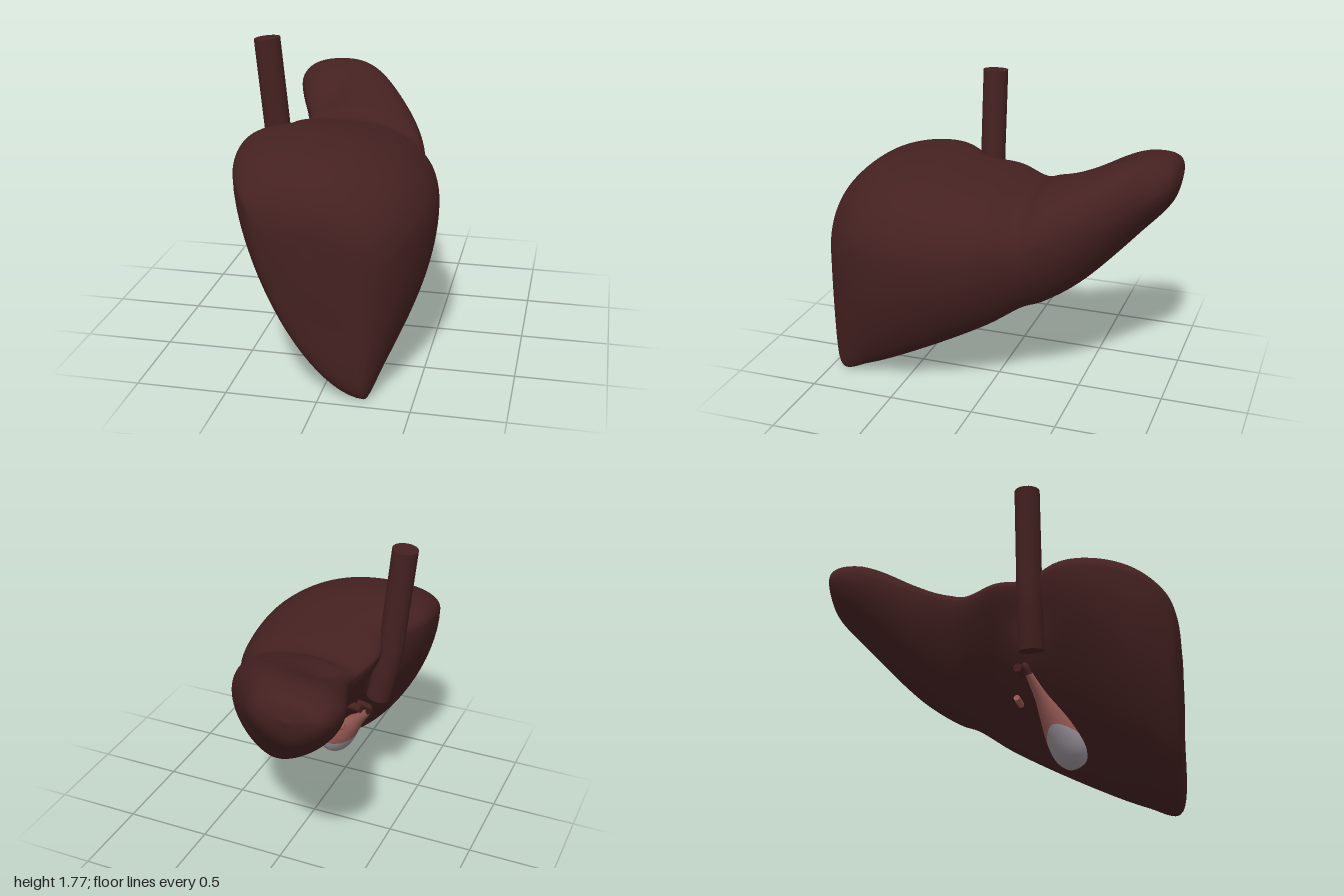
import * as THREE from 'three';
import { mergeVertices } from 'three/addons/utils/BufferGeometryUtils.js';
import { ParametricGeometry } from 'three/addons/geometries/ParametricGeometry.js';

const V = (x, y, z) => new THREE.Vector3(x, y, z);
const gauss = (d, width) => Math.exp(-((d / width) ** 2));

// A cross-section at z, given by its left, top, right and bottom extremes
const section = (z, ...xy) => [0, 2, 4, 6].map(k => V(xy[k], xy[k + 1], z));
const pole = (x, y, z) => section(z, x, y, x, y, x, y, x, y);

const liverSections = () => [
  pole(-0.05, 0.8, 1),
  section(0.985, -0.28, 0.92, -0.1, 1.01, 0.18, 0.8, 0.13, 0.45),
  section(0.93, -0.39, 1.04, -0.13, 1.13, 0.31, 0.76, 0.24, 0.005),
  section(0.75, -0.5, 1.14, -0.18, 1.27, 0.45, 0.83, 0.24, 0.055),
  section(0.45, -0.535, 1.2, -0.22, 1.33, 0.535, 0.86, 0.24, 0.19),
  section(0, -0.42, 1.18, -0.15, 1.26, 0.475, 0.9, 0.2, 0.42),
  section(-0.2, -0.355, 1.14, -0.1, 1.21, 0.37, 0.92, 0.14, 0.54),
  section(-0.3, -0.345, 1.15, -0.07, 1.255, 0.36, 0.97, 0.1, 0.57),
  section(-0.5, -0.41, 1.19, -0.09, 1.325, 0.275, 1.05, 0.01, 0.685),
  section(-0.8, -0.51, 1.27, -0.18, 1.41, 0.06, 1.2, -0.2, 0.96),
  section(-0.96, -0.465, 1.29, -0.27, 1.375, -0.09, 1.26, -0.27, 1.14),
  pole(-0.28, 1.28, -1),
];

// Closed outline through the four extremes, each quarter a cubic curve
function outline([L, T, R, B], under, perQuarter) {
  const quarter = (a, b, corner, ka, kb) => {
    const h1 = a.clone().lerp(corner, ka), h2 = b.clone().lerp(corner, kb);
    return new THREE.CubicBezierCurve3(a, h1, h2, b).getPoints(perQuarter).slice(0, -1);
  };
  const at = (p, q) => V(p.x, q.y, (p.z + q.z) / 2);
  return [
    ...quarter(L, T, at(L, T), 0.6, 0.65),
    ...quarter(T, R, at(R, T), 0.65, 0.55),
    ...quarter(R, B, at(R, B), 0.5, 0.42),
    ...quarter(B, L, at(L, B), under, under),
  ];
}

function liverGeometry() {
  const sections = liverSections();
  const perQuarter = 20, n = perQuarter * 4, steps = (sections.length - 1) * 10;
  const rails = [0, 1, 2, 3].map(k => new THREE.CatmullRomCurve3(sections.map(s => s[k])));
  const pos = [], idx = [];
  for (let i = 0; i <= steps; i++) {
    const extremes = rails.map(r => r.getPoint(i / steps));
    // The under face is flattest in the middle and fuller towards both ends
    const z = extremes[0].z;
    const under = 0.15 + 0.27 * Math.min(1, Math.abs(z + 0.05) / (z < 0 ? 0.45 : 0.8));
    outline(extremes, under, perQuarter).forEach((p, j) => {
      // Shallow hollow on top of the small lobe
      if (j < perQuarter * 1.5) p.y -= 0.05 * gauss(p.x + 0.24, 0.1) * gauss(p.z + 0.5, 0.17);
      // Groove for the large vein
      p.x += 0.1 * gauss(p.z - 0.16, 0.12) * THREE.MathUtils.smoothstep(p.y, 0.75, 1.05)
        * THREE.MathUtils.smoothstep(-p.x, 0.15, 0.42);
      pos.push(p.x, p.y, p.z);
    });
    if (i === steps) break;
    for (let j = 0; j < n; j++) {
      const a = i * n + j, b = i * n + (j + 1) % n;
      idx.push(a, b, a + n, b, b + n, a + n);
    }
  }
  const loft = new THREE.BufferGeometry();
  loft.setAttribute('position', new THREE.Float32BufferAttribute(pos, 3));
  loft.setIndex(idx);
  const geometry = mergeVertices(loft, 1e-5);
  geometry.computeVertexNormals();
  return geometry;
}

export function createModel() {
  const group = new THREE.Group();
  const mat = (name, color) => Object.assign(new THREE.MeshStandardMaterial({ color }), { name });
  const liverRed = mat('liver red', 0x452121);
  const ductPink = mat('gallbladder pink', 0x9a5c56);
  const paleGrey = mat('pale grey', 0x9c949c);

  const add = (name, geometry, material, parent = group) => {
    const mesh = new THREE.Mesh(geometry, material);
    mesh.name = name;
    parent.add(mesh);
    return mesh;
  };

  // Round vessel along a path, closed at both ends
  const vessel = (name, points, r, material) => {
    const part = new THREE.Group();
    part.name = name;
    group.add(part);
    const curve = new THREE.CatmullRomCurve3(points);
    add(name + 'Wall', new THREE.TubeGeometry(curve, 24, r, 24), material, part);
    for (const t of [0, 1]) {
      const cap = add(name + 'End', new THREE.CircleGeometry(r, 24), material, part);
      const dir = curve.getTangent(t).multiplyScalar(t ? 1 : -1);
      cap.position.copy(curve.getPoint(t));
      cap.quaternion.setFromUnitVectors(V(0, 0, 1), dir);
    }
  };

  add('liver', liverGeometry(), liverRed);

  // Large vein in the groove, and small vessels beside the gallbladder neck
  vessel('largeVein', [V(-0.46, 1.757, 0.18), V(-0.415, 1.3, 0.18), V(-0.395, 1.1, 0.18), V(-0.33, 0.8, 0.18)], 0.073, liverRed);
  vessel('portalVessel', [V(-0.12, 0.74, 0.1), V(-0.2, 0.74, 0.1), V(-0.26, 0.74, 0.09)], 0.025, liverRed);
  vessel('smallVessel', [V(-0.06, 0.6, 0.08), V(-0.12, 0.59, 0.08), V(-0.165, 0.6, 0.07)], 0.018, ductPink);
  vessel('gallDuct', [V(-0.28, 0.68, 0.16), V(-0.29, 0.73, 0.14), V(-0.22, 0.76, 0.12)], 0.018, liverRed);

  // Gallbladder: pear shape, the pale end reaching further up its outer side
  const tip = V(0.075, 0.255, 0.385), neck = V(-0.28, 0.69, 0.155);
  const axis = neck.clone().sub(tip), len = axis.length();
  const bladder = new THREE.Group();
  bladder.name = 'gallbladder';
  bladder.position.copy(tip);
  bladder.quaternion.setFromUnitVectors(V(0, 1, 0), axis.normalize());
  group.add(bladder);
  const profile = new THREE.SplineCurve([
    [0, 0], [0.055, 0.015], [0.09, 0.07], [0.1, 0.14], [0.088, 0.24],
    [0.06, 0.36], [0.035, 0.47], [0.02, len],
  ].map(p => new THREE.Vector2(...p)));
  const outer = V(-0.8, -0.6, 0).applyQuaternion(bladder.quaternion.clone().invert());
  const outerAngle = Math.atan2(outer.z, outer.x);
  const skin = (from, to) => new ParametricGeometry((u, v, target) => {
    const angle = -2 * Math.PI * u;
    const split = 0.47 + 0.18 * Math.cos(angle - outerAngle);
    const p = profile.getPoint(THREE.MathUtils.lerp(from ?? split, to ?? split, v));
    target.set(p.x * Math.cos(angle), p.y, p.x * Math.sin(angle));
  }, 36, 16);
  add('gallbladderEnd', skin(0, null), paleGrey, bladder);
  add('gallbladderBody', skin(null, 1), ductPink, bladder);
  return group;
}
